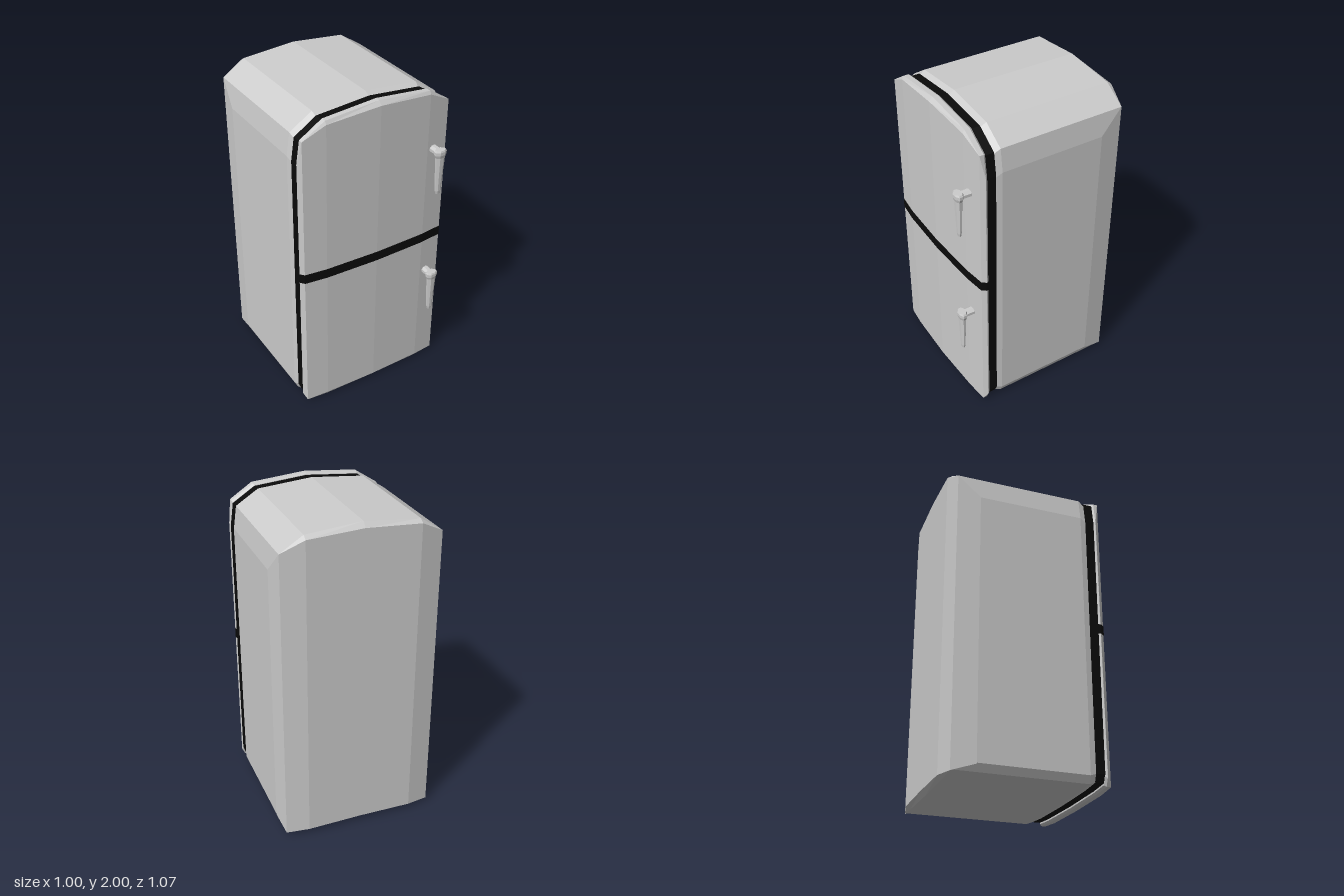
import * as THREE from 'three';

const grey = new THREE.MeshStandardMaterial({ color: 0xcccccc, flatShading: true });
const black = new THREE.MeshStandardMaterial({ color: 0x0a0a0a, flatShading: true });

// Right half of the cabinet outline as columns: x, bottom y, top y
const OUTLINE = [[0, 0, 2], [0.34, 0.005, 1.97], [0.48, 0.015, 1.88], [0.5, 0.06, 1.74]];
const SPLIT_LOW = 0.95, SPLIT_HIGH = 1.01;
// Depth per column
const BACK_RIM = [-0.5, -0.5, -0.5, -0.36];
const BACK_FACE = [-0.53, -0.53, -0.5, -0.36];
const DOOR_FACE = [0.457, 0.447, 0.43, 0.405];

// One cross-section, mirrored left to right. z is a number or a depth per column.
// side narrows x; low and high pull in the bottom and the top.
function section(outline, z, side = 0, low = 0, high = 0) {
  const half = outline.map(([x, b, t], i) => [
    x * (1 - side / 0.5),
    b + (Array.isArray(low) ? low[i] : low),
    t - (Array.isArray(high) ? high[i] : high),
    Array.isArray(z) ? z[i] : z,
  ]);
  const mirrored = half.slice(1).reverse().map(([x, b, t, d]) => [-x, b, t, d]);
  return [...mirrored, ...half];
}

// Skins sections from back to front and closes both ends with column strips
function loft(name, sections, material) {
  const pos = [];
  const tri = (a, b, c) => {
    const ab = new THREE.Vector3().subVectors(b, a);
    const ac = new THREE.Vector3().subVectors(c, a);
    if (ab.cross(ac).length() > 1e-8) for (const p of [a, b, c]) pos.push(p.x, p.y, p.z);
  };
  const quad = (a, b, c, d) => { tri(a, b, c); tri(a, c, d); };
  const rings = sections.map((cols) => [
    ...cols.map(([x, b, , z]) => new THREE.Vector3(x, b, z)),
    ...cols.map(([x, , t, z]) => new THREE.Vector3(x, t, z)).reverse(),
  ]);
  const n = rings[0].length;
  for (let k = 0; k + 1 < rings.length; k++) {
    for (let i = 0; i < n; i++) {
      const j = (i + 1) % n;
      quad(rings[k][i], rings[k][j], rings[k + 1][j], rings[k + 1][i]);
    }
  }
  const back = rings[0], front = rings[rings.length - 1];
  for (let i = 0; i + 1 < n / 2; i++) {
    quad(front[i], front[i + 1], front[n - 2 - i], front[n - 1 - i]);
    quad(back[i + 1], back[i], back[n - 1 - i], back[n - 2 - i]);
  }
  const geometry = new THREE.BufferGeometry();
  geometry.setAttribute('position', new THREE.Float32BufferAttribute(pos, 3));
  geometry.computeVertexNormals();
  const mesh = new THREE.Mesh(geometry, material);
  mesh.name = name;
  return mesh;
}

// Door with a bowed face; only its outer end (top or bottom) is bevelled
function makeDoor(name, upper) {
  const outline = OUTLINE.map(([x, b, t]) => (upper ? [x, SPLIT_HIGH, t] : [x, b, SPLIT_LOW]));
  const ends = (v) => (upper ? [0, v] : [v, 0]);
  const bevel = [0.025, 0.02, 0, 0];
  return loft(name, [
    section(outline, 0.39, 0.008, ...ends(0.01)),
    section(outline, 0.403, 0),
    section(outline, DOOR_FACE.map((z) => Math.min(z, 0.435)), 0),
    section(outline, DOOR_FACE, 0, ...ends(bevel)),
  ], grey);
}

// Tapered grip hanging from a short stem
function makeHandle(name, y) {
  const handle = new THREE.Group();
  handle.name = name;
  const profile = [[0, -0.295], [0.013, -0.295], [0.018, -0.275], [0.03, -0.05],
    [0.038, -0.03], [0.038, -0.01], [0.032, 0], [0, 0]].map(([r, h]) => new THREE.Vector2(r, h));
  const gripGeometry = new THREE.LatheGeometry(profile, 8, Math.PI / 8);
  const widen = 1 / Math.cos(Math.PI / 8);
  gripGeometry.scale(widen, 1, 0.66 * widen);
  const grip = new THREE.Mesh(gripGeometry, grey);
  grip.name = 'grip';
  grip.position.z = 0.51;
  const stemGeometry = new THREE.CylinderGeometry(0.026, 0.028, 0.08, 8);
  stemGeometry.rotateY(Math.PI / 8).rotateX(Math.PI / 2).scale(1.05, 0.85, 1);
  const stem = new THREE.Mesh(stemGeometry, grey);
  stem.name = 'stem';
  stem.position.set(0, -0.025, 0.475);
  handle.add(grip, stem);
  handle.position.set(0.383, y, 0);
  return handle;
}

export function createModel() {
  const model = new THREE.Group();
  model.name = 'refrigerator';

  // Cabinet with rounded rear corners and a slight taper towards the doors
  const rearBevel = [0.03, 0.02, 0, 0];
  model.add(loft('cabinet', [
    section(OUTLINE, BACK_FACE, 0, rearBevel, rearBevel),
    section(OUTLINE, BACK_RIM, 0, 0.005),
    section(OUTLINE, 0.3, 0, 0.005),
    section(OUTLINE, 0.34, 0.01, 0.02, 0.025),
  ], grey));

  // Black seal between cabinet and doors
  model.add(loft('doorSeal', [
    section(OUTLINE, 0.337, 0.006, 0.02, 0.013),
    section(OUTLINE, 0.392, 0.006, 0.02, 0.013),
  ], black));

  // Black strip between the two doors
  const strip = OUTLINE.map(([x]) => [x, SPLIT_LOW, SPLIT_HIGH]);
  model.add(loft('doorDivider', [
    section(strip, 0.388),
    section(strip, DOOR_FACE.map((z) => z + 0.003)),
  ], black));

  model.add(makeDoor('upperDoor', true), makeDoor('lowerDoor', false));
  model.add(makeHandle('upperHandle', 1.62), makeHandle('lowerHandle', 0.745));
  return model;
}
